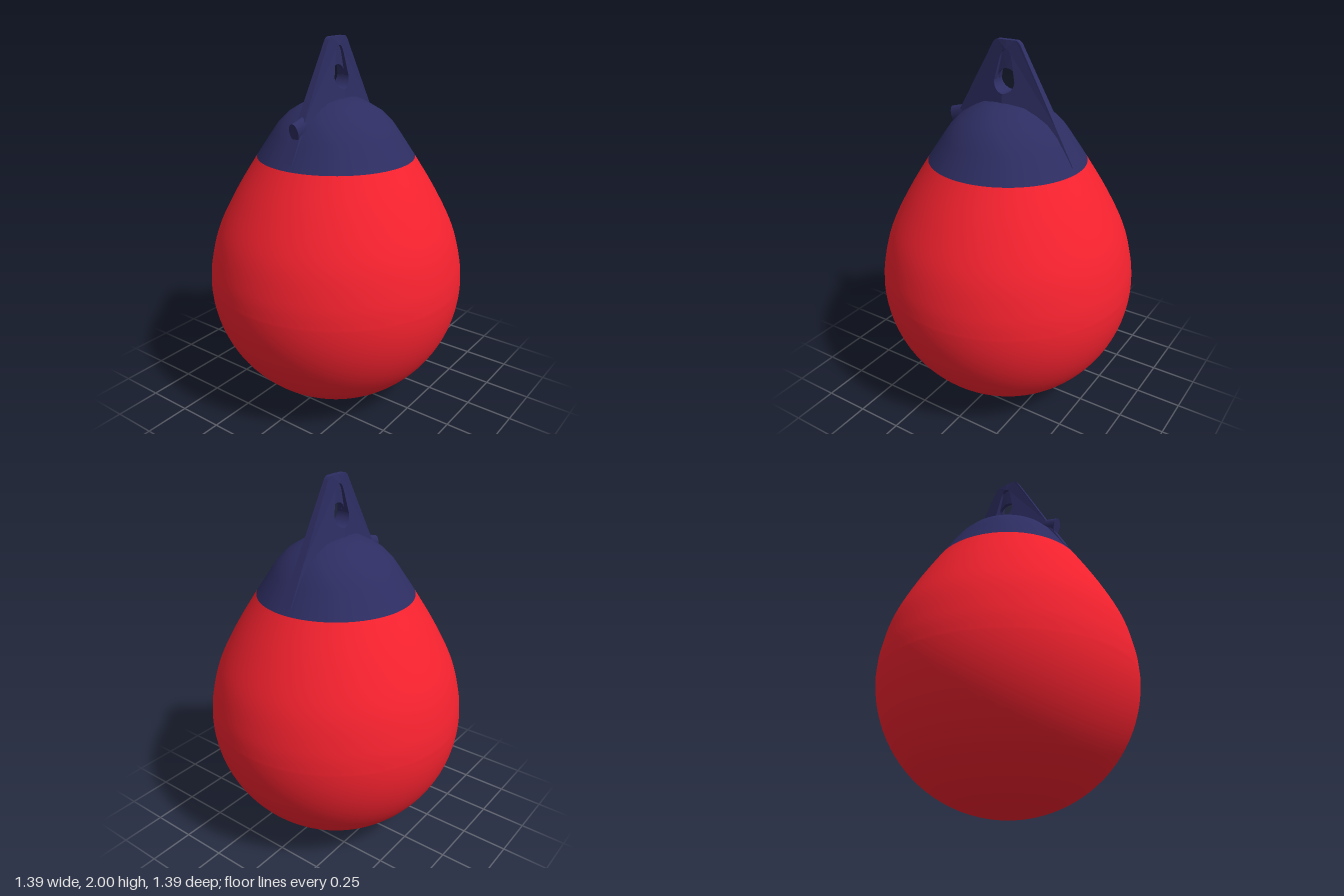
import * as THREE from 'three';

const red = new THREE.MeshStandardMaterial({ color: 0xf5222f });
const navy = new THREE.MeshStandardMaterial({ color: 0x2d2d62 });
const v2 = (x, y) => new THREE.Vector2(x, y);

function add(parent, name, geometry, material) {
  const mesh = new THREE.Mesh(geometry, material);
  mesh.name = name;
  parent.add(mesh);
  return mesh;
}

// Half of the lifting fin (x >= 0), cut along the middle by the rope eye.
// eyeTop above 1.86 draws the eye out into a tapering groove.
function halfFin(eyeTop, z0, z1) {
  const s = new THREE.Shape();
  s.moveTo(0, 1.42);
  s.lineTo(0.4, 1.42);
  s.lineTo(0.29, 1.61);
  s.lineTo(0.083, 1.975);
  s.quadraticCurveTo(0.07, 2, 0.05, 2);
  s.lineTo(0, 2);
  s.lineTo(0, eyeTop);
  if (eyeTop > 1.87) {
    s.quadraticCurveTo(0.025, eyeTop, 0.035, 1.91);
    s.lineTo(0.06, 1.8);
    s.absarc(0, 1.8, 0.06, 0, -Math.PI / 2, true);
  } else {
    s.absarc(0, 1.8, 0.06, Math.PI / 2, -Math.PI / 2, true);
  }
  s.closePath();
  const geo = new THREE.ExtrudeGeometry(s, { depth: z1 - z0, bevelEnabled: false, curveSegments: 16 });
  geo.translate(0, 0, z0);
  // Thick at the foot and middle, thin at the top and sloping edges
  const p = geo.attributes.position;
  for (let i = 0; i < p.count; i++) {
    const t = 0.017 + 0.15 * (2 - p.getY(i)) - 0.185 * p.getX(i);
    p.setZ(i, p.getZ(i) * Math.max(t, 0.014));
  }
  geo.computeVertexNormals();
  return geo;
}

export function createModel() {
  const group = new THREE.Group();
  group.name = 'buoy';

  // Inflatable body: round bottom, then a shoulder drawn in to the collar
  const profile = [];
  for (let i = 0; i <= 24; i++) {
    const a = (i / 24) * Math.PI / 2;
    profile.push(v2(0.695 * Math.sin(a), 0.7 - 0.7 * Math.cos(a)));
  }
  const shoulder = new THREE.SplineCurve([
    v2(0.695, 0.7), v2(0.683, 0.82), v2(0.635, 1.0), v2(0.535, 1.2), v2(0.418, 1.39),
  ]);
  profile.push(...shoulder.getPoints(24).slice(1));
  add(group, 'body', new THREE.LatheGeometry(profile, 96), red);

  // Domed cap
  const dome = [
    [0.418, 1.39], [0.375, 1.455], [0.335, 1.515], [0.302, 1.562], [0.25, 1.615],
    [0.19, 1.652], [0.13, 1.682], [0.06, 1.695], [0, 1.698],
  ].map(([x, y]) => v2(x, y));
  add(group, 'cap', new THREE.LatheGeometry(dome, 96), navy);

  // Fin: pierced core between two grooved cheeks, each half turned to make the other
  const fin = new THREE.Group();
  fin.name = 'liftingFin';
  group.add(fin);
  const layers = [
    ['finCore', 1.86, -0.3, 0.3],
    ['finCheekFront', 1.955, 0.3, 1],
    ['finCheekBack', 1.955, -1, -0.3],
  ];
  for (const [name, eyeTop, z0, z1] of layers) {
    const geo = halfFin(eyeTop, z0, z1);
    for (const turn of [0, Math.PI]) add(fin, name, geo, navy).rotation.y = turn;
  }

  // Flattened inflation valve on one side
  const valveGeo = new THREE.CylinderGeometry(0.047, 0.047, 0.16, 24);
  valveGeo.scale(1, 1, 0.6);
  const valve = add(group, 'valve', valveGeo, navy);
  valve.rotation.z = Math.PI / 2 + 0.26;
  valve.position.set(-0.267, 1.587, 0);

  return group;
}
